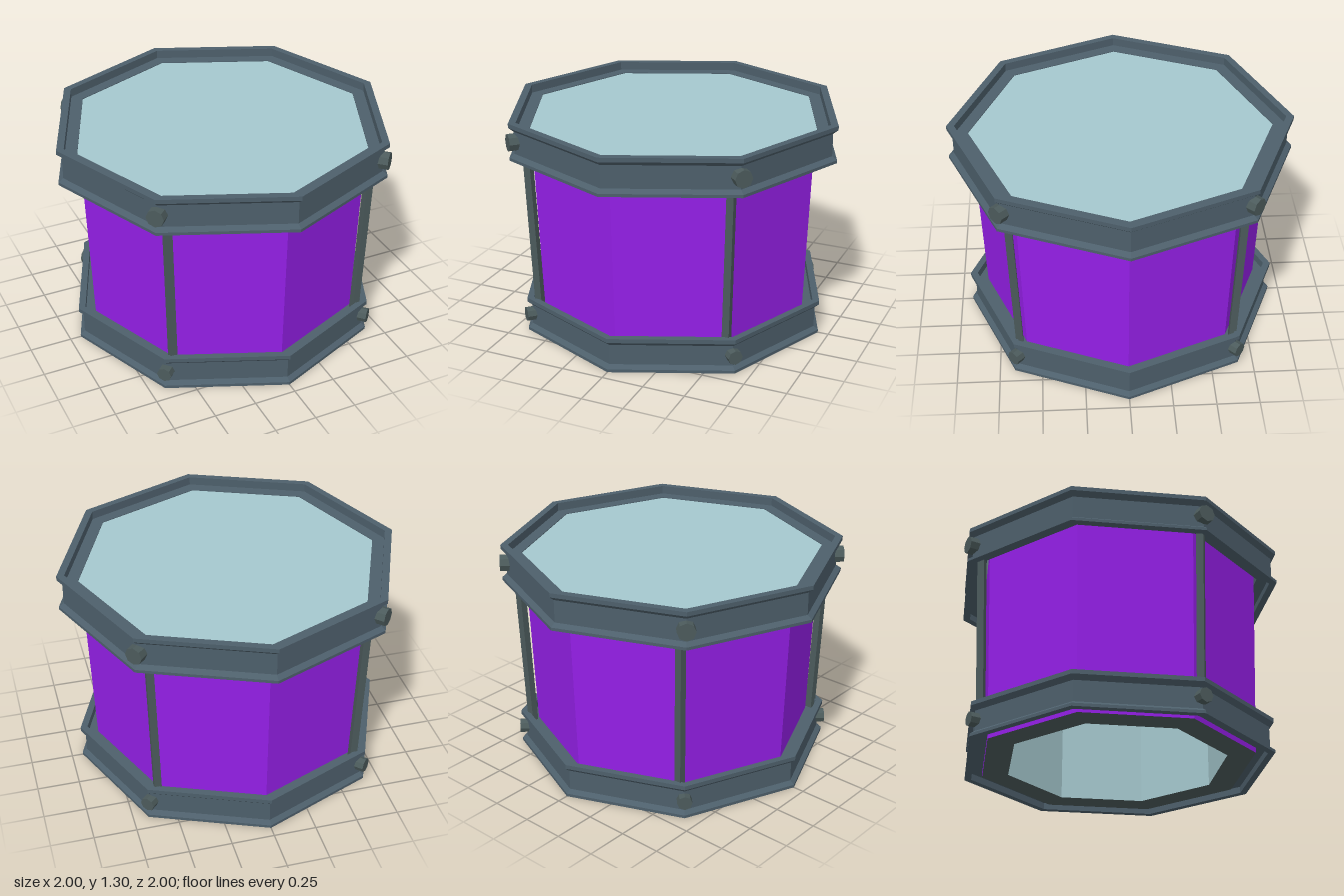
import * as THREE from 'three';

const SIDES = 8;
const mat = (color) => new THREE.MeshStandardMaterial({ color, flatShading: true });

// Octagonal solid of revolution from [radius, height] points
function lathe(name, points, material) {
  const geo = new THREE.LatheGeometry(points.map(([r, y]) => new THREE.Vector2(r, y)), SIDES);
  const mesh = new THREE.Mesh(geo, material);
  mesh.name = name;
  return mesh;
}

// Channel-shaped hoop with flared lips and a recessed ledge on both faces
function hoop(name, R, y0, y1, material) {
  const lip = 0.025, flare = 0.05, inner = 0.88 * R, step = 0.955 * R, waist = 0.97 * R;
  return lathe(name, [
    [step, y0], [R, y0], [R, y0 + lip * 0.7], [waist, y0 + flare * 0.75],
    [waist, y1 - flare], [R, y1 - lip], [R, y1], [step, y1],
    [step, y1 - 0.05], [inner, y1 - 0.05], [inner, y0 + 0.04], [step, y0 + 0.04], [step, y0],
  ], material);
}

export function createModel() {
  const group = new THREE.Group();
  const purple = mat(0x951fe8), steel = mat(0x4d5f6b), frame = mat(0x4c5b5c), skin = mat(0xa5c8ce);

  // Tapered shell, bottom ring and inner lining
  group.add(lathe('shell', [[0.824, 0.01], [0.866, 1.24]], purple));
  group.add(lathe('bottomRing', [[0.66, 0.01], [0.824, 0.01]], frame));
  group.add(lathe('innerLining', [[0.66, 1.21], [0.66, 0.01]], skin));

  // Drum head, recessed in the upper hoop
  const head = new THREE.Mesh(new THREE.CylinderGeometry(0.88, 0.88, 0.05, SIDES), skin);
  head.name = 'drumHead';
  head.position.y = 1.226;
  group.add(head);

  // Hoops
  group.add(hoop('upperHoop', 1.0, 1.085, 1.305, steel));
  group.add(hoop('lowerHoop', 0.935, 0, 0.21, steel));

  // Leaning square struts: a box sheared so its top sits further out
  for (const sx of [-1, 1]) for (const sz of [-1, 1]) {
    const geo = new THREE.BoxGeometry(0.042, 1.02, 0.042);
    geo.translate(0, 0.65, 0);
    const p = geo.attributes.position;
    for (let i = 0; i < p.count; i++) {
      const lean = 0.028 * (p.getY(i) - 0.2);
      p.setX(i, p.getX(i) + sx * (0.595 + lean));
      p.setZ(i, p.getZ(i) + sz * (0.628 + lean));
    }
    geo.computeVertexNormals();
    const strut = new THREE.Mesh(geo, frame);
    strut.name = 'strut';
    group.add(strut);
  }

  // Bolts on the diagonal corners of both hoops
  for (const [y, radius, end] of [[1.193, 0.052, 1.007], [0.104, 0.043, 0.945]]) {
    for (let k = 0; k < 4; k++) {
      const geo = new THREE.CylinderGeometry(radius, radius, 0.09, 8);
      geo.rotateX(Math.PI / 2);
      geo.translate(0, y, end - 0.045);
      geo.rotateY(Math.PI / 4 + k * Math.PI / 2);
      const bolt = new THREE.Mesh(geo, frame);
      bolt.name = 'bolt';
      group.add(bolt);
    }
  }
  return group;
}
